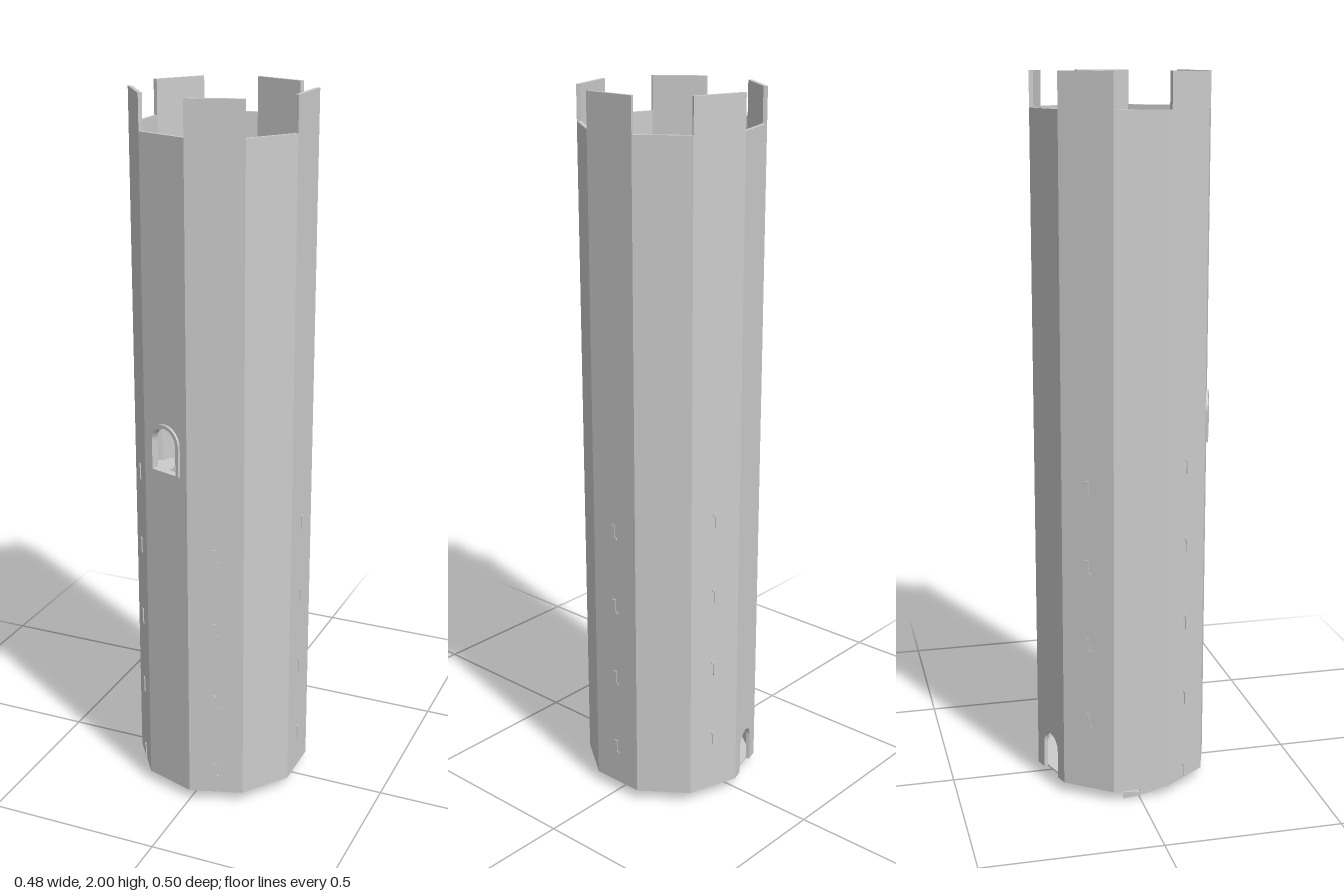
import * as THREE from 'three';
import { mergeGeometries } from 'three/addons/utils/BufferGeometryUtils.js';

const APOTHEM = 0.226, WALL = 0.011, BASE = 0.03;
const RADIUS = APOTHEM / Math.cos(Math.PI / 10);
const HALF = APOTHEM * Math.tan(Math.PI / 10);
const rad = THREE.MathUtils.degToRad;

// Arched outline with its foot at height y; works for shapes and holes
function arch(path, w, h, y) {
  const r = w / 2;
  path.moveTo(-r, y);
  path.lineTo(r, y);
  path.lineTo(r, y + h - r);
  path.absarc(0, y + h - r, r, 0, Math.PI, false);
  path.lineTo(-r, y);
  return path;
}

// Turns a geometry whose +z faces outward onto the wall at the given bearing
function onWall(geo, degrees, distance) {
  return geo.translate(0, 0, distance).rotateY(Math.PI / 2 - rad(degrees));
}

// One wall panel, mitred at its sides
function wallPanel(degrees, top, kind) {
  const s = new THREE.Shape();
  s.moveTo(-HALF, BASE);
  if (kind === 'door') {
    s.lineTo(-0.04, BASE);
    s.lineTo(-0.04, 0.11);
    s.absarc(0, 0.11, 0.04, Math.PI, 0, true);
    s.lineTo(0.04, BASE);
  }
  s.lineTo(HALF, BASE);
  s.lineTo(HALF, top);
  s.lineTo(-HALF, top);
  s.closePath();
  if (kind === 'window') s.holes.push(arch(new THREE.Path(), 0.085, 0.125, 1.0));
  const geo = new THREE.ExtrudeGeometry(s, { depth: WALL, bevelEnabled: false, curveSegments: 8 });
  const p = geo.attributes.position;
  for (let i = 0; i < p.count; i++) {
    if (Math.abs(p.getX(i)) > HALF - 1e-4) p.setX(i, p.getX(i) * (APOTHEM + p.getZ(i)) / APOTHEM);
  }
  geo.computeVertexNormals();
  return onWall(geo, degrees, APOTHEM);
}

// One wedge-shaped step with a sloping underside
function stairStep(from, span, y, rise) {
  const geo = new THREE.BoxGeometry(1, 1, 1);
  const p = geo.attributes.position;
  for (let i = 0; i < p.count; i++) {
    const r = 0.19 + p.getX(i) * 0.076, z = p.getZ(i);
    const a = rad(from - span + (z + 0.5) * span);
    const h = p.getY(i) > 0 ? y + rise + 0.012 : y + rise * (0.5 - z);
    p.setXYZ(i, r * Math.cos(a), h, r * Math.sin(a));
  }
  geo.computeVertexNormals();
  return geo;
}

export function createModel() {
  const tower = new THREE.Group();
  tower.name = 'tower';
  const stone = new THREE.MeshStandardMaterial({ color: 0xcccccc, flatShading: true, side: THREE.DoubleSide });
  stone.name = 'grey stone';
  const add = (geo, name) => {
    const mesh = new THREE.Mesh(geo, stone);
    mesh.name = name;
    tower.add(mesh);
    return mesh;
  };

  // Ten walls, alternately tall (merlon) and low (gap)
  for (let i = 0; i < 10; i++) {
    const a = i * 36, tall = i % 2 === 0;
    const kind = a === 108 ? 'window' : a === 252 ? 'door' : '';
    add(wallPanel(a, tall ? 2 : 1.905, kind), tall ? 'merlonWall' : 'lowWall');
  }

  // Ground floor and upper deck
  add(new THREE.CylinderGeometry(RADIUS, RADIUS, 0.004, 10).translate(0, BASE + 0.002, 0), 'groundFloor');
  add(new THREE.CylinderGeometry(RADIUS, RADIUS, 0.01, 10).translate(0, 1.65, 0), 'upperDeck');

  // Raised arched frame around the window
  const frame = arch(new THREE.Shape(), 0.106, 0.138, 1.0);
  frame.holes.push(arch(new THREE.Path(), 0.085, 0.125, 1.003));
  const frameGeo = new THREE.ExtrudeGeometry(frame, { depth: 0.022, bevelEnabled: false, curveSegments: 8 });
  add(onWall(frameGeo, 108, APOTHEM - 0.004), 'windowFrame');

  // Narrow slits on the tall walls, climbing with the stair
  for (let k = 0; k <= 20; k++) {
    const slit = mergeGeometries([
      new THREE.BoxGeometry(0.006, 0.042, 0.006),
      new THREE.BoxGeometry(0.012, 0.006, 0.006).translate(-0.003, 0.018, 0),
      new THREE.BoxGeometry(0.012, 0.006, 0.006).translate(0.003, -0.018, 0),
    ]);
    slit.translate(0, 0.055 + 0.045 * k, 0);
    add(onWall(slit, 144 - 72 * k, APOTHEM + WALL), 'arrowSlit');
  }

  // Spiral stair along the inside of the walls
  const span = 12, rise = 0.225 * span / 360, steps = [];
  for (let i = 0; i < 127; i++) steps.push(stairStep(192 - i * span, span, i * rise, rise));
  add(mergeGeometries(steps), 'spiralStair');

  return tower;
}
